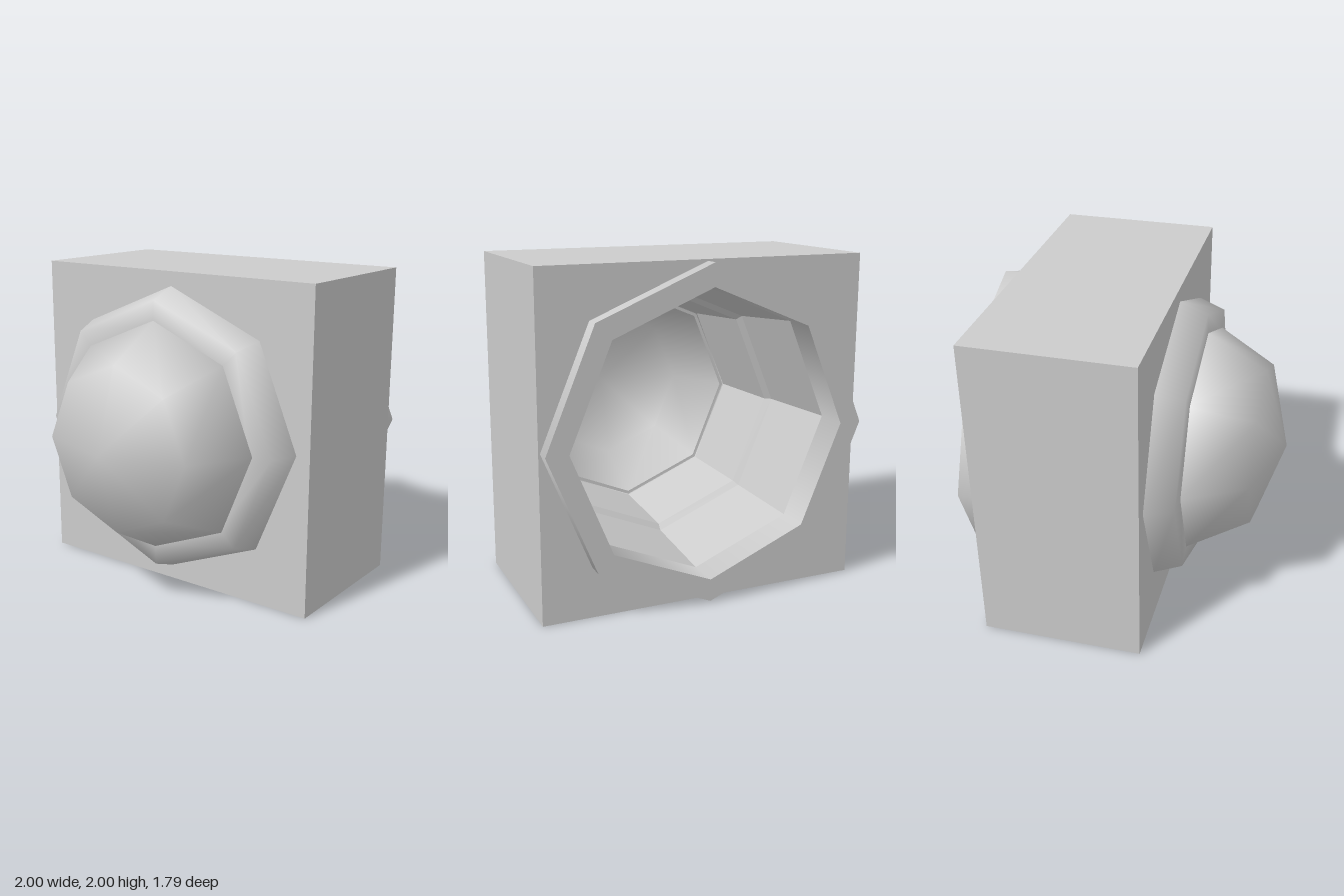
import * as THREE from 'three';

const SIDES = 8;

export function createModel() {
  const model = new THREE.Group();
  const smooth = new THREE.MeshStandardMaterial({ color: 0xcccccc, side: THREE.DoubleSide });
  const flat = new THREE.MeshStandardMaterial({ color: 0xcccccc, side: THREE.DoubleSide, flatShading: true });

  const add = (name, geometry, material, parent = model) => {
    const mesh = new THREE.Mesh(geometry, material);
    mesh.name = name;
    parent.add(mesh);
    return mesh;
  };
  // Eight-sided turned surface about the z axis, from [radius, z] pairs
  const turned = (profile) =>
    new THREE.LatheGeometry(profile.map(([r, z]) => new THREE.Vector2(r, z)), SIDES).rotateX(Math.PI / 2);

  // Square housing with an octagonal bore
  const square = new THREE.Shape([[-1, -1], [1, -1], [1, 1], [-1, 1]].map(([x, y]) => new THREE.Vector2(x, y)));
  const bore = [];
  for (let i = 0; i < SIDES; i++) {
    const a = (-i * 2 * Math.PI) / SIDES;
    bore.push(new THREE.Vector2(0.87 * Math.cos(a), 0.87 * Math.sin(a)));
  }
  square.holes.push(new THREE.Path(bore));
  add('housing', new THREE.ExtrudeGeometry(square, { depth: 1, bevelEnabled: false }).translate(0, 0, -0.81), flat);

  // Rounded collar around the dome
  add('collar', turned([[0.91, 0.19], [0.845, 0.36], [0.7, 0.367]]), smooth);

  // Flattened hollow dome
  const dome = new THREE.SphereGeometry(0.725, SIDES, 2, 0, Math.PI * 2, 0, Math.PI / 2);
  add('dome', dome.scale(1, 0.73, 1).rotateX(Math.PI / 2).translate(0, 0, 0.36), smooth);

  // Rear rim: outer wall, flat rear face and inner wall
  const rim = new THREE.Group();
  rim.name = 'rearRim';
  model.add(rim);
  add('rimOuterWall', turned([[0.99, -0.9], [0.99, -0.8]]), smooth, rim);
  add('rimFace', new THREE.RingGeometry(0.855, 0.99, SIDES).rotateY(Math.PI).translate(0, 0, -0.9), flat, rim);
  add('rimInnerWall', turned([[0.855, -0.7], [0.855, -0.9]]), smooth, rim);

  // Stepped, faceted lining of the bore
  add('boreLining', turned([[0.725, 0.36], [0.765, -0.15], [0.8, -0.18], [0.855, -0.7]]), flat);

  model.position.y = 1;
  const group = new THREE.Group();
  group.add(model);
  return group;
}
